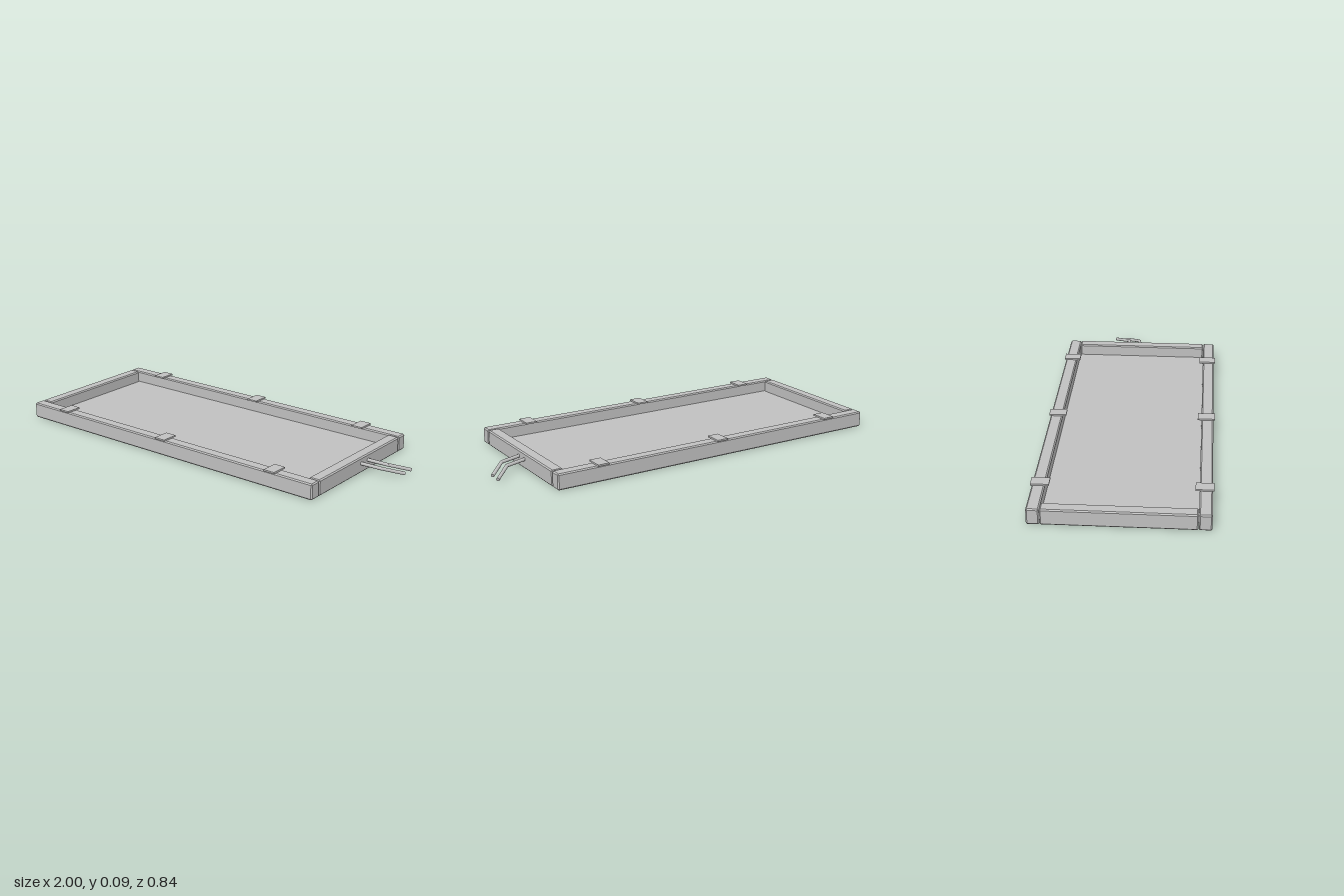
import * as THREE from 'three';
import { ConvexGeometry } from 'three/addons/geometries/ConvexGeometry.js';

const metal = new THREE.MeshStandardMaterial({ color: 0xc0c0c0 });
metal.name = 'light grey';

// Box with all edges chamfered by c
function chamferBox(w, h, d, c) {
  const pts = [];
  for (const sx of [-1, 1]) for (const sy of [-1, 1]) for (const sz of [-1, 1]) {
    const x = w / 2, y = h / 2, z = d / 2;
    pts.push(
      new THREE.Vector3(sx * x, sy * (y - c), sz * (z - c)),
      new THREE.Vector3(sx * (x - c), sy * y, sz * (z - c)),
      new THREE.Vector3(sx * (x - c), sy * (y - c), sz * z));
  }
  return new ConvexGeometry(pts);
}

function add(parent, name, geometry, x, y, z) {
  const mesh = new THREE.Mesh(geometry, metal);
  mesh.name = name;
  mesh.position.set(x, y, z);
  parent.add(mesh);
  return mesh;
}

// Bent cable: capped cylinders with round joints
function cable(points, radius) {
  const group = new THREE.Group();
  group.name = 'cable';
  const up = new THREE.Vector3(0, 1, 0);
  for (let i = 0; i < points.length - 1; i++) {
    const a = points[i], b = points[i + 1];
    const dir = b.clone().sub(a);
    const mid = a.clone().add(b).multiplyScalar(0.5);
    const seg = add(group, 'cableSegment',
      new THREE.CylinderGeometry(radius, radius, dir.length(), 14), mid.x, mid.y, mid.z);
    seg.quaternion.setFromUnitVectors(up, dir.normalize());
    if (i > 0) add(group, 'cableBend', new THREE.SphereGeometry(radius, 14, 10), a.x, a.y, a.z);
  }
  return group;
}

export function createModel() {
  const model = new THREE.Group();
  model.name = 'framedPanel';
  const midX = -0.095;

  // Flat base panel
  add(model, 'panel', new THREE.BoxGeometry(1.70, 0.016, 0.71), midX, 0.012, 0);

  // Long rails with three clips each
  for (const s of [-1, 1]) {
    add(model, 'longRail', chamferBox(1.81, 0.08, 0.06, 0.006), midX, 0.04, s * 0.383);
    for (const x of [-0.77, midX, 0.575]) {
      add(model, 'clip', new THREE.BoxGeometry(0.06, 0.008, 0.086), x, 0.084, s * 0.377);
    }
  }

  // Short end rails
  for (const s of [-1, 1]) {
    add(model, 'endRail', chamferBox(0.06, 0.08, 0.704, 0.006), midX + s * 0.875, 0.04, 0);
  }

  // Pair of cables leaving the left end
  for (const z of [0, -0.06]) {
    model.add(cable([
      new THREE.Vector3(0.80, 0.05, z - 0.003),
      new THREE.Vector3(0.91, 0.042, z - 0.024),
      new THREE.Vector3(0.993, 0.013, z - 0.102),
    ], 0.0085));
  }
  return model;
}
